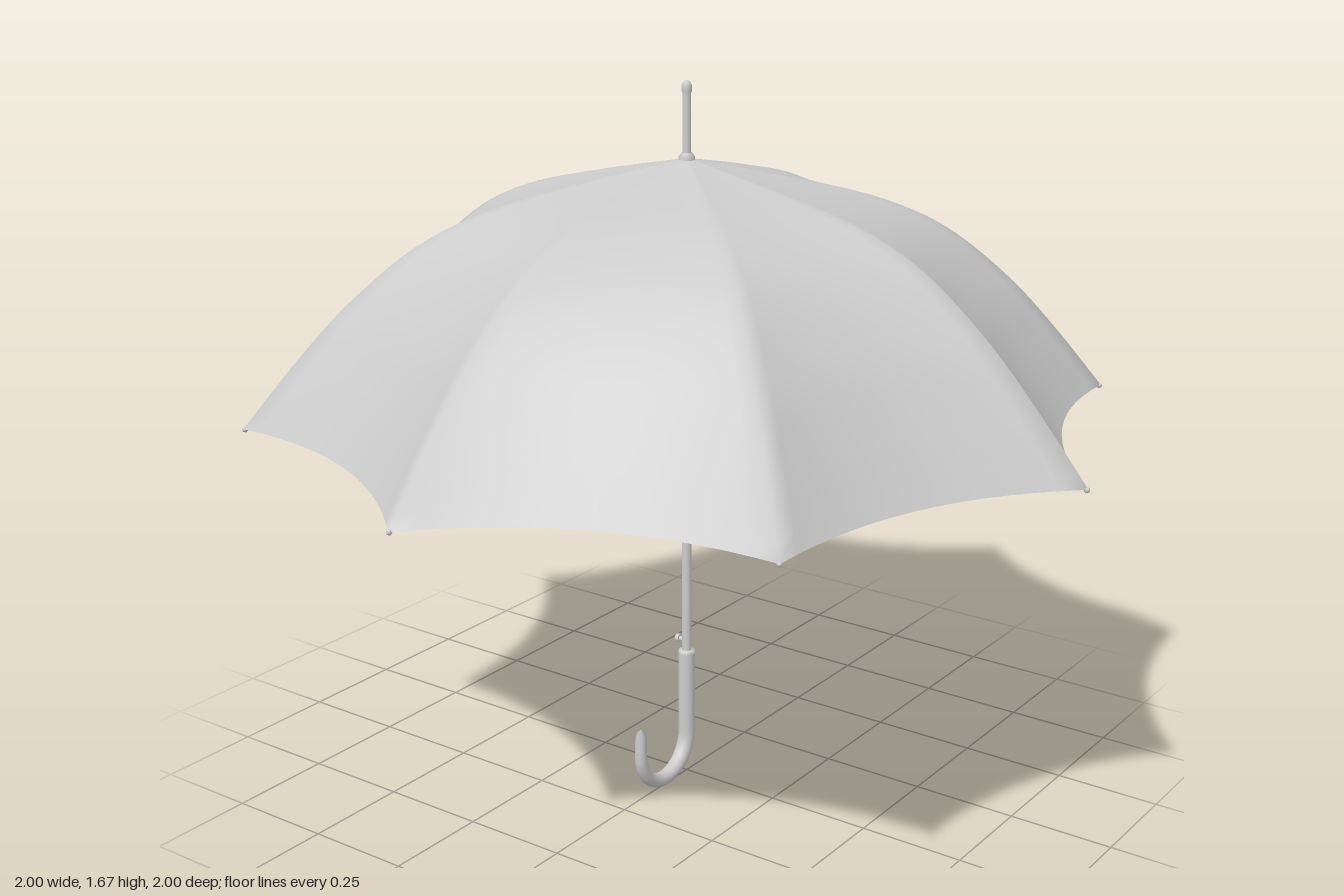
import * as THREE from 'three';

const RIBS = 8;
const TWIST = 0.01;
const HALF = Math.PI / RIBS;

const grey = new THREE.MeshStandardMaterial({ color: 0xcccccc });
const cloth = new THREE.MeshStandardMaterial({ color: 0xcccccc, side: THREE.DoubleSide });

// Curve of one rib: x is the distance from the shaft, y the height
const ribProfile = new THREE.CatmullRomCurve3([
  [0.008, 1.5], [0.22, 1.455], [0.45, 1.395], [0.6, 1.325],
  [0.76, 1.197], [0.87, 1.08], [0.997, 0.928],
].map(([r, y]) => new THREE.Vector3(r, y, 0)));

const ribAngle = (k) => k * 2 * HALF + TWIST;
const around = (r, y, a) => new THREE.Vector3(r * Math.sin(a), y, r * Math.cos(a));

function add(parent, name, geometry, material = grey) {
  const mesh = new THREE.Mesh(geometry, material);
  mesh.name = name;
  parent.add(mesh);
  return mesh;
}

function lathe(parent, name, points) {
  add(parent, name, new THREE.LatheGeometry(points.map(([r, y]) => new THREE.Vector2(r, y)), 20));
}

// Thin straight rod between two points
function rod(parent, name, a, b, radius) {
  add(parent, name, new THREE.TubeGeometry(new THREE.LineCurve3(a, b), 1, radius, 6));
}

// Cloth stretched between the ribs, drawn inward along the middle of each panel
function canopyGeometry(rows = 32, cols = 14) {
  const positions = [], index = [], ring = RIBS * cols;
  for (let i = 0; i <= rows; i++) {
    const t = i / rows;
    const p = ribProfile.getPoint(t);
    for (let j = 0; j < ring; j++) {
      const k = Math.floor(j / cols), s = (j % cols) / cols;
      const point = around(p.x, p.y, ribAngle(k)).lerp(around(p.x, p.y, ribAngle(k + 1)), s);
      const pull = 4 * s * (1 - s) * t;
      point.sub(around(0.072 * pull, -0.008 * pull, ribAngle(k + 0.5)));
      positions.push(point.x, point.y, point.z);
      if (i < rows) {
        const a = i * ring + j, b = i * ring + (j + 1) % ring;
        index.push(a, a + ring, b, b, a + ring, b + ring);
      }
    }
  }
  const geometry = new THREE.BufferGeometry();
  geometry.setAttribute('position', new THREE.Float32BufferAttribute(positions, 3));
  geometry.setIndex(index);
  geometry.computeVertexNormals();
  return geometry;
}

// Hooked handle: a tube along a path, thinning toward a rounded end
function handleGeometry() {
  const R = 0.092, steps = 80, sides = 16;
  const points = [0.32, 0.25, 0.18, 0.14].map((y) => new THREE.Vector3(0, y, 0));
  for (let i = 0; i <= 16; i++) {
    const a = Math.PI * i / 16;
    points.push(new THREE.Vector3(0, 0.112 - R * Math.sin(a), R - R * Math.cos(a)));
  }
  points.push(new THREE.Vector3(0, 0.145, 2 * R), new THREE.Vector3(0, 0.182, 2 * R - 0.002));
  const path = new THREE.CatmullRomCurve3(points);
  const geometry = new THREE.TubeGeometry(path, steps, 1, sides);
  const pos = geometry.attributes.position, v = new THREE.Vector3();
  for (let i = 0; i <= steps; i++) {
    const t = i / steps, c = path.getPointAt(t);
    const end = THREE.MathUtils.clamp((t - 0.96) / 0.04, 0, 0.995);
    const radius = (0.02 - 0.007 * Math.max(0, (t - 0.45) / 0.55)) * Math.sqrt(1 - end * end);
    for (let j = 0; j <= sides; j++) {
      const n = i * (sides + 1) + j;
      v.fromBufferAttribute(pos, n).sub(c).multiplyScalar(radius).add(c);
      pos.setXYZ(n, v.x, v.y, v.z);
    }
  }
  return geometry;
}

export function createModel() {
  const model = new THREE.Group();
  model.name = 'umbrella';

  add(model, 'canopy', canopyGeometry(), cloth);

  // Shaft and the spike above the canopy
  lathe(model, 'shaft', [[0.0115, 0.3], [0.0115, 1.5]]);
  lathe(model, 'spike', [
    [0.018, 1.488], [0.018, 1.505], [0.013, 1.512], [0.0095, 1.515], [0.0095, 1.645],
    [0.0115, 1.648], [0.0115, 1.662], [0.007, 1.67], [0, 1.67],
  ]);

  // Handle with a cap, and the release button just above it
  add(model, 'handle', handleGeometry());
  lathe(model, 'handleCap', [[0.02, 0.312], [0.02, 0.32], [0.0115, 0.322]]);
  const button = new THREE.Group();
  button.name = 'releaseButton';
  const stem = add(button, 'buttonStem', new THREE.CylinderGeometry(0.006, 0.006, 0.022, 10));
  stem.rotation.z = Math.PI / 2;
  stem.position.set(-0.012, 0.345, 0);
  const knob = add(button, 'buttonKnob', new THREE.CylinderGeometry(0.01, 0.01, 0.009, 12));
  knob.rotation.z = Math.PI / 2;
  knob.position.set(-0.024, 0.345, 0);
  model.add(button);

  // Sliding runner and the fixed hub holding the ribs
  lathe(model, 'runner', [
    [0.0115, 1.15], [0.016, 1.15], [0.018, 1.19], [0.024, 1.255], [0.029, 1.262],
    [0.029, 1.28], [0.02, 1.286], [0.02, 1.3], [0.0115, 1.305],
  ]);
  lathe(model, 'topHub', [
    [0.0115, 1.435], [0.017, 1.438], [0.017, 1.46], [0.026, 1.465], [0.026, 1.482], [0.0115, 1.486],
  ]);

  // Ribs, end caps and struts
  const frame = new THREE.Group();
  frame.name = 'frame';
  for (let k = 0; k < RIBS; k++) {
    const a = ribAngle(k);
    const ribPoints = ribProfile.getPoints(24).slice(1)
      .map((p) => around(p.x - 0.003, p.y - 0.006, a));
    add(frame, 'rib', new THREE.TubeGeometry(new THREE.CatmullRomCurve3(ribPoints), 32, 0.004, 6));
    add(frame, 'ribTip', new THREE.SphereGeometry(0.006, 10, 8)).position.copy(around(0.994, 0.927, a));
    rod(frame, 'strut', around(0.024, 1.275, a), around(0.53, 1.352, a), 0.004);
    rod(frame, 'brace', around(0.02, 1.29, a), around(0.12, 1.465, a), 0.0025);
  }
  model.add(frame);

  return model;
}
